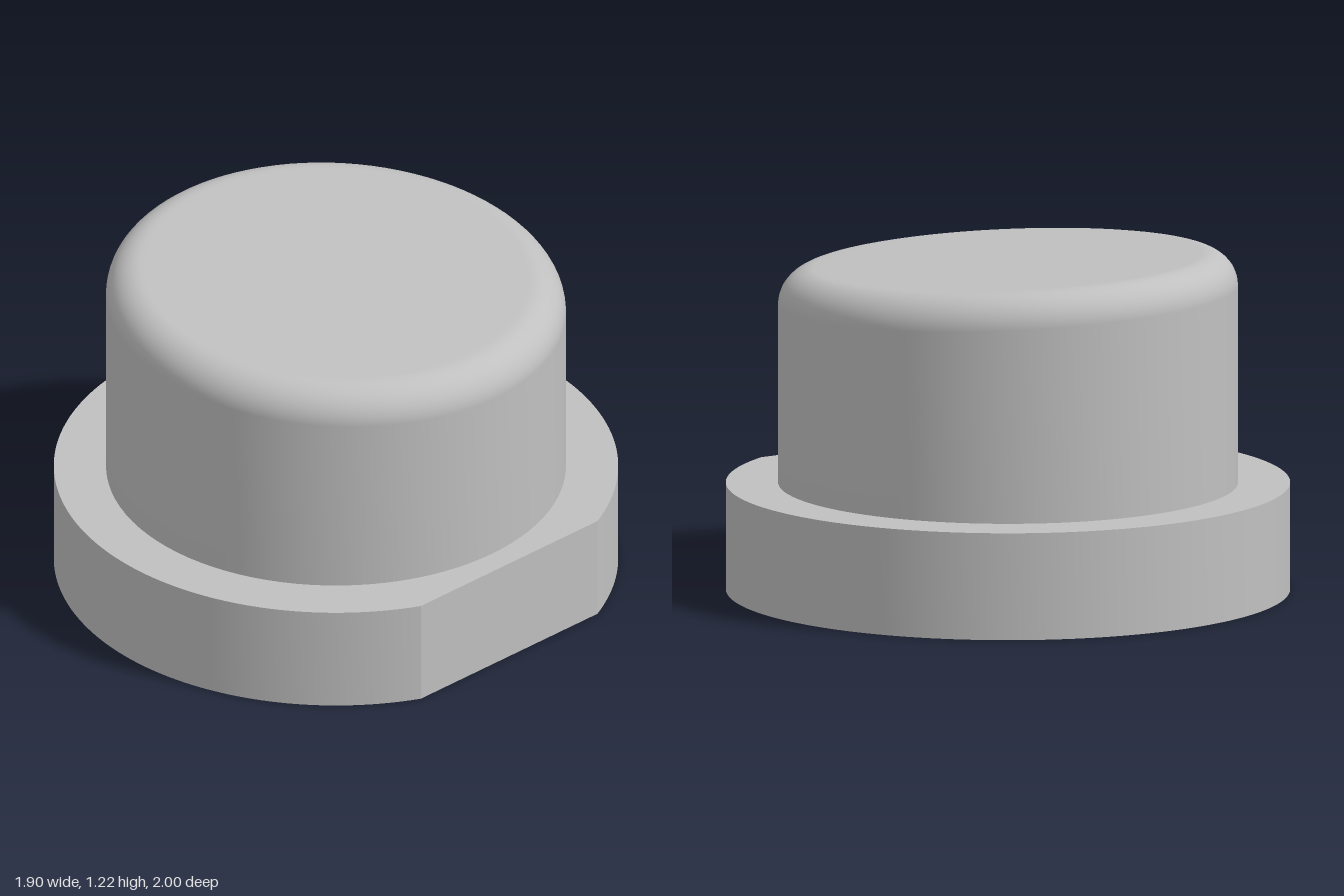
import * as THREE from 'three';
import { mergeVertices, toCreasedNormals } from 'three/addons/utils/BufferGeometryUtils.js';

const CENTRE_X = 0.045;
const FLANGE_R = 1, FLANGE_H = 0.385, FLAT_X = 0.905;
const RECESS_R = 0.573, RECESS_DEPTH = 0.157;
const BODY_R = 0.815, TOP_Y = 1.185, FILLET = 0.125;

// Round flange with one flat side and a round hole from below
function flangeGeometry() {
  const a = Math.acos(FLAT_X / FLANGE_R);
  const shape = new THREE.Shape();
  shape.absarc(0, 0, FLANGE_R, a, Math.PI * 2 - a, false);
  shape.closePath();
  const hole = new THREE.Path();
  hole.absarc(0, 0, RECESS_R, 0, Math.PI * 2, true);
  shape.holes.push(hole);
  const geo = new THREE.ExtrudeGeometry(shape, { depth: FLANGE_H, bevelEnabled: false, curveSegments: 96 });
  geo.rotateX(-Math.PI / 2);
  return toCreasedNormals(geo, 0.35);
}

// Cylinder with a rounded rim and a slightly tilted top
function bodyGeometry() {
  const pts = [new THREE.Vector2(BODY_R, FLANGE_H)];
  const steps = 12;
  for (let i = 0; i <= steps; i++) {
    const t = (i / steps) * Math.PI / 2;
    pts.push(new THREE.Vector2(
      BODY_R - FILLET + FILLET * Math.cos(t),
      TOP_Y - FILLET + FILLET * Math.sin(t)));
  }
  pts.push(new THREE.Vector2(BODY_R - FILLET - 0.03, TOP_Y), new THREE.Vector2(0, TOP_Y));
  let geo = new THREE.LatheGeometry(pts, 96);
  const p = geo.attributes.position;
  for (let i = 0; i < p.count; i++) {
    if (p.getY(i) > FLANGE_H + 0.1) {
      p.setY(i, p.getY(i) - 0.044 * p.getX(i) + 0.02 * p.getZ(i));
    }
  }
  geo.deleteAttribute('uv');
  geo.deleteAttribute('normal');
  geo = mergeVertices(geo, 1e-5);
  geo.computeVertexNormals();
  return geo;
}

export function createModel() {
  const grey = new THREE.MeshStandardMaterial({ color: 0xc0c0c0 });
  grey.name = 'grey';
  const group = new THREE.Group();
  group.name = 'flangedCap';
  const add = (name, geo) => {
    const mesh = new THREE.Mesh(geo, grey);
    mesh.name = name;
    mesh.position.x = CENTRE_X;
    group.add(mesh);
    return mesh;
  };

  add('flange', flangeGeometry());
  add('body', bodyGeometry());

  // Ceiling of the shallow recess, facing down
  const ceiling = new THREE.CircleGeometry(RECESS_R, 192);
  ceiling.rotateX(Math.PI / 2);
  add('recessCeiling', ceiling).position.y = RECESS_DEPTH;

  return group;
}
